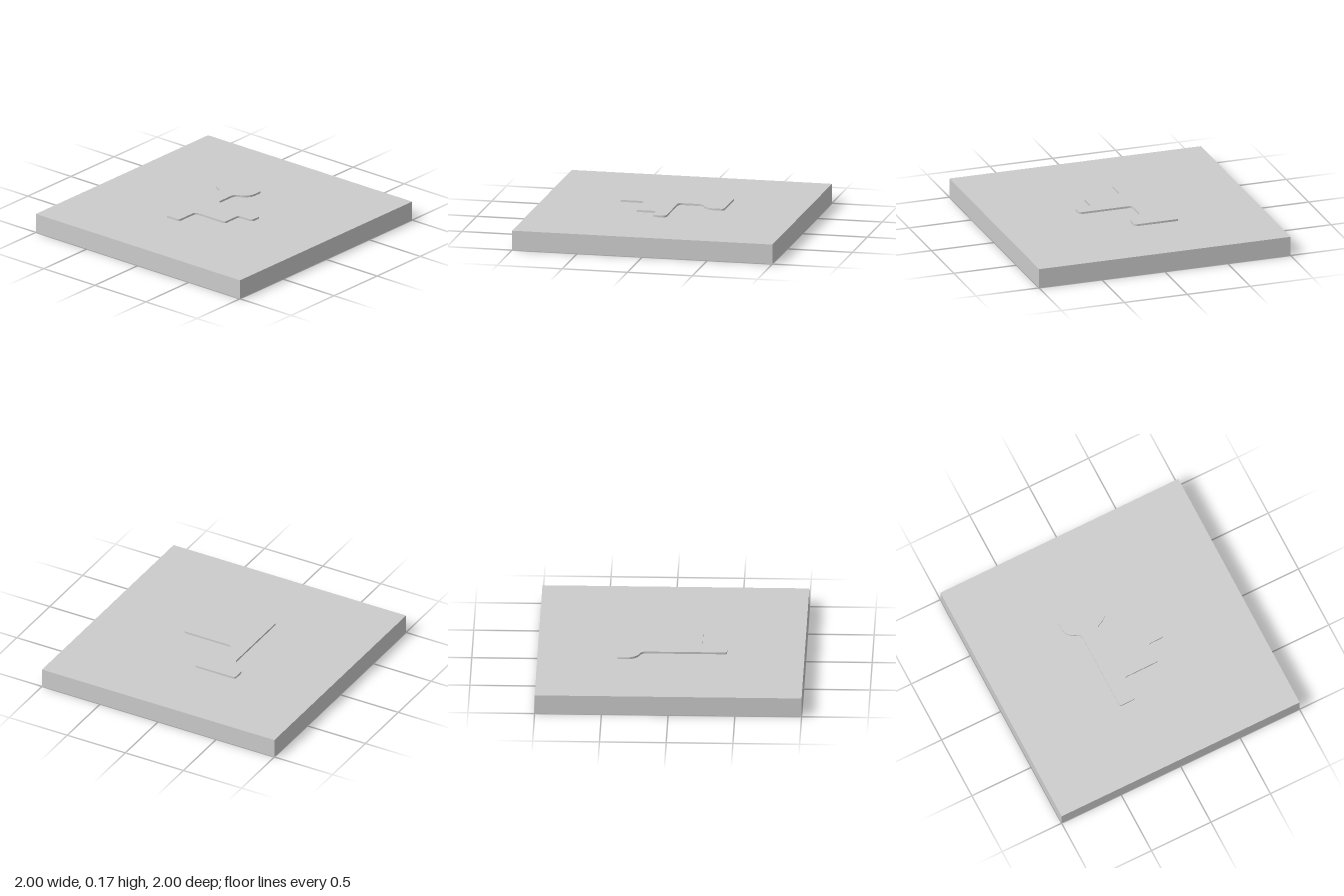
import * as THREE from 'three';
import { toCreasedNormals } from 'three/addons/utils/BufferGeometryUtils.js';

const BASE_HEIGHT = 0.15;
const RELIEF_HEIGHT = 0.015;

// Closed shape from [x, z, corner size] points, each corner rounded off.
function roundedShape(corners) {
  const shape = new THREE.Shape();
  const pts = corners.map(([x, z]) => new THREE.Vector2(x, -z));
  const n = pts.length;
  const towards = (from, to, d) => to.clone().sub(from).setLength(d).add(from);
  pts.forEach((p, i) => {
    const r = corners[i][2];
    const a = towards(p, pts[(i + n - 1) % n], r);
    const b = towards(p, pts[(i + 1) % n], r);
    if (i === 0) shape.moveTo(a.x, a.y);
    else shape.lineTo(a.x, a.y);
    // handles that approximate a circular arc
    const c1 = a.clone().lerp(p, 0.55);
    const c2 = b.clone().lerp(p, 0.55);
    shape.bezierCurveTo(c1.x, c1.y, c2.x, c2.y, b.x, b.y);
  });
  shape.closePath();
  return shape;
}

export function createModel() {
  const model = new THREE.Group();
  const material = new THREE.MeshStandardMaterial({ color: 0xcccccc });

  // Square slab
  const base = new THREE.Mesh(new THREE.BoxGeometry(2, BASE_HEIGHT, 2), material);
  base.name = 'baseSlab';
  base.position.y = BASE_HEIGHT / 2;
  model.add(base);

  // Thin raised outline: flared head, stem and stepped side arm
  const outline = roundedShape([
    [-0.325, -0.405, 0.022],
    [0.027, -0.405, 0.022],
    [0.027, -0.262, 0.065],
    [-0.085, -0.22, 0.032],
    [-0.085, -0.03, 0.03],
    [0.336, -0.03, 0.03],
    [0.336, 0.075, 0.03],
    [0.204, 0.075, 0.018],
    [0.204, 0.231, 0.018],
    [-0.085, 0.231, 0.03],
    [-0.085, 0.419, 0.018],
    [-0.215, 0.419, 0.018],
    [-0.215, -0.22, 0.032],
    [-0.325, -0.262, 0.065],
  ]);
  const geometry = new THREE.ExtrudeGeometry(outline, {
    depth: RELIEF_HEIGHT, bevelEnabled: false, curveSegments: 8,
  });
  geometry.rotateX(-Math.PI / 2);
  const relief = new THREE.Mesh(toCreasedNormals(geometry, 0.6), material);
  relief.name = 'raisedRelief';
  relief.position.y = BASE_HEIGHT;
  model.add(relief);

  return model;
}
